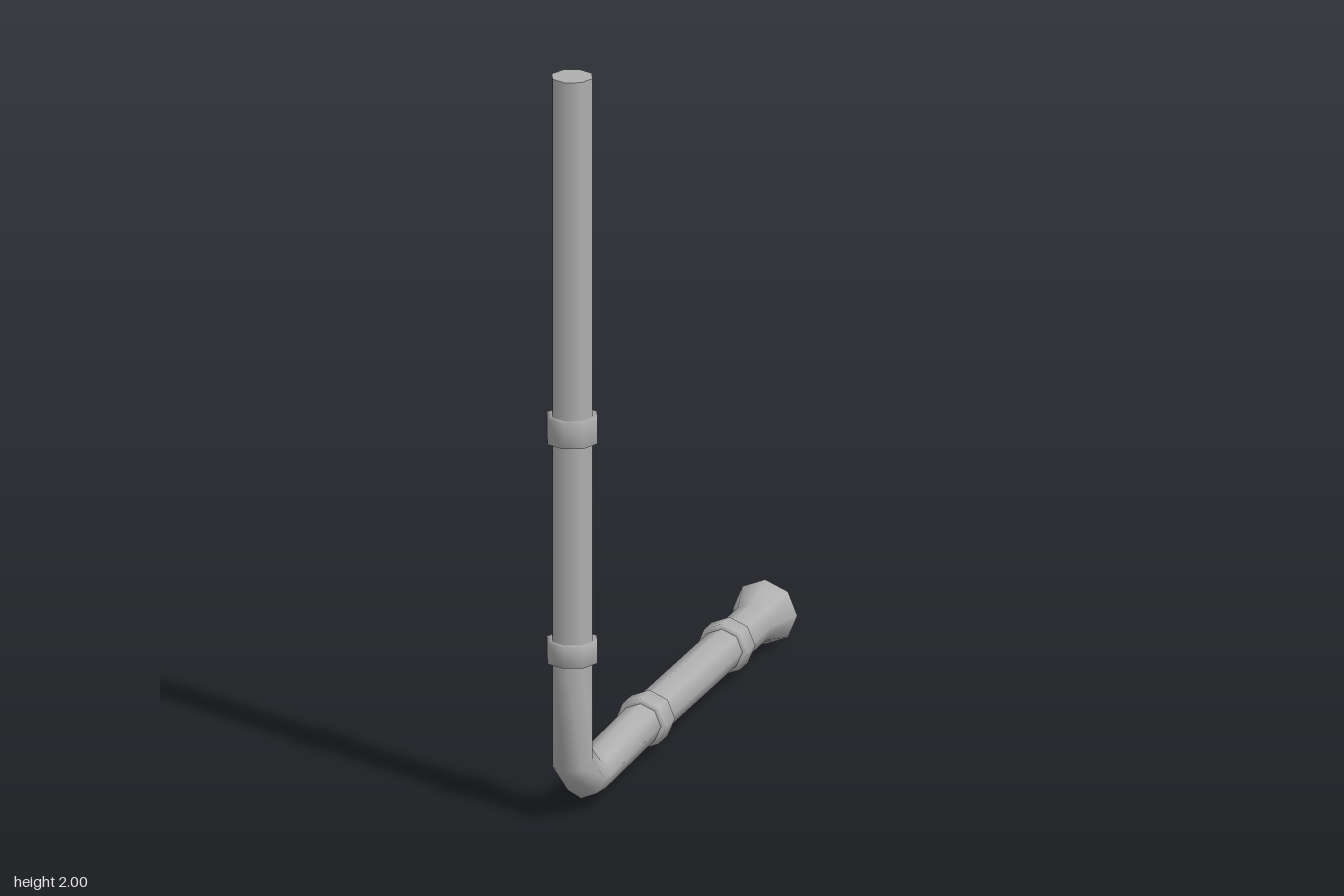
import * as THREE from 'three';

const SIDES = 8;
const PIPE_R = 0.055;
const DOWN_Z = 0.682; // axis of the upright run
const RUN_Y = 0.092; // axis of the horizontal run

export function createModel() {
  const group = new THREE.Group();
  const metal = new THREE.MeshStandardMaterial({ color: 0xb0b0b0 });

  const add = (name, geometry, parent = group) => {
    const mesh = new THREE.Mesh(geometry, metal);
    mesh.name = name;
    parent.add(mesh);
    return mesh;
  };
  const lathe = (points) =>
    new THREE.LatheGeometry(points.map(([r, h]) => new THREE.Vector2(r, h)), SIDES);
  const pipe = (from, to, open = true) =>
    new THREE.CylinderGeometry(PIPE_R, PIPE_R, to - from, SIDES, 1, open).translate(0, (from + to) / 2, 0);
  const collar = (from, to) =>
    lathe([[0.05, from], [0.069, from], [0.069, to], [0.05, to]]);

  // Upright run: local y is height
  const upright = new THREE.Group();
  upright.name = 'uprightRun';
  upright.position.z = DOWN_Z;
  group.add(upright);
  add('upperPipe', pipe(1.05, 2, false), upright);
  add('middlePipe', pipe(0.46, 1.05), upright);
  add('upperCollar', collar(1.02, 1.09), upright);
  add('lowerCollar', collar(0.43, 0.487), upright);

  // Horizontal run: local y points backwards along -z
  const run = new THREE.Group();
  run.name = 'horizontalRun';
  run.position.y = RUN_Y;
  run.rotation.x = -Math.PI / 2;
  group.add(run);
  add('horizontalPipe', pipe(-0.14, 0.46), run);
  add('frontCollar', collar(-0.175, -0.108), run);
  add('rearCollar', collar(0.43, 0.487), run);

  // Flared outlet with a flat rim and a recessed bore
  const outlet = new THREE.Group();
  outlet.name = 'outlet';
  outlet.position.z = -0.004;
  run.add(outlet);
  add('outletPipe', pipe(0.46, 0.66), outlet);
  add('outletFlare', lathe([[PIPE_R, 0.655], [0.087, 0.75]]), outlet);
  add('outletRim', lathe([[0.087, 0.75], [0.05, 0.75]]), outlet);
  add('outletBore', lathe([[0.05, 0.75], [0.046, 0.65]]), outlet);
  add('outletBack', lathe([[0.046, 0.65], [0, 0.65]]), outlet);

  // Elbow: each ring is given by its outer and inner point, as z, y
  const rings = [
    [0.737, 0.46, 0.627, 0.46],
    [0.737, 0.145, 0.625, 0.192],
    [0.615, 0.036, 0.57, 0.145],
    [0.54, 0.028, 0.53, 0.137],
    [0.14, 0.037, 0.14, 0.147],
  ];
  const positions = [];
  const index = [];
  rings.forEach(([oz, oy, iz, iy], i) => {
    for (let j = 0; j < SIDES; j++) {
      const a = (j / SIDES) * Math.PI * 2;
      const t = (1 - Math.cos(a)) / 2;
      positions.push(
        Math.sin(a) * PIPE_R,
        THREE.MathUtils.lerp(oy, iy, t),
        THREE.MathUtils.lerp(oz, iz, t)
      );
      if (i === rings.length - 1) continue;
      const p = i * SIDES + j;
      const q = i * SIDES + ((j + 1) % SIDES);
      index.push(p, p + SIDES, q + SIDES, p, q + SIDES, q);
    }
  });
  const elbow = new THREE.BufferGeometry();
  elbow.setAttribute('position', new THREE.Float32BufferAttribute(positions, 3));
  elbow.setIndex(index);
  elbow.computeVertexNormals();
  add('elbow', elbow);

  return group;
}
